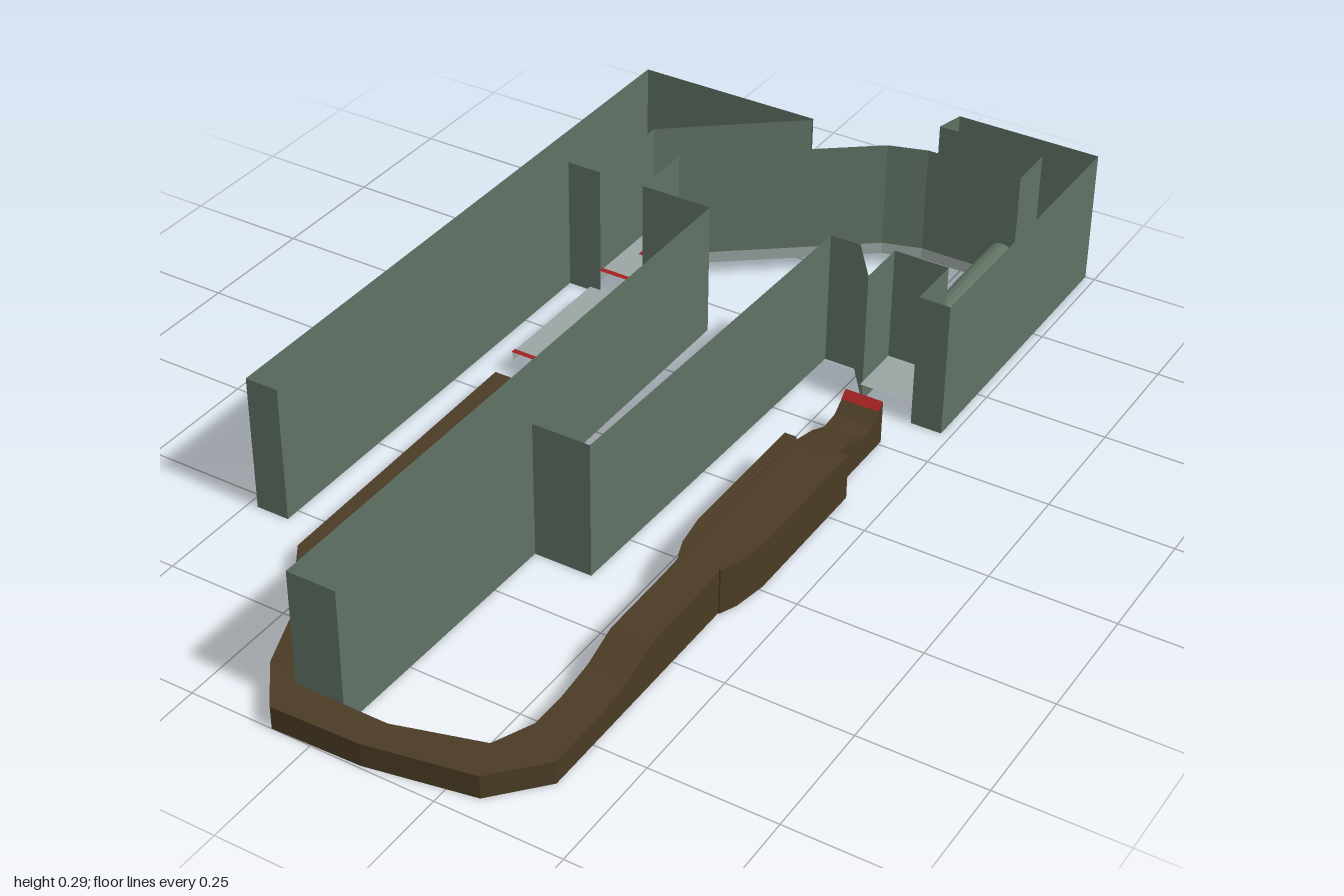
import * as THREE from 'three';

const flat = (name, color) => new THREE.MeshStandardMaterial({ name, color, side: THREE.DoubleSide, flatShading: true });

export function createModel() {
  const group = new THREE.Group();
  const green = flat('greenWall', 0x5f7163);
  const grey = flat('paleGrey', 0x9aa5a2);
  const red = flat('red', 0xa32020);
  const brown = flat('brown', 0x4a3b24);

  // Skin a list of cross-sections (each a list of [x, y, z]) with quads
  function loft(name, rows, mat, caps = false) {
    const pos = [];
    const quad = (a, b, c, d) => pos.push(...a, ...b, ...c, ...a, ...c, ...d);
    for (let i = 0; i < rows.length - 1; i++)
      for (let j = 0; j < rows[i].length - 1; j++)
        quad(rows[i][j], rows[i + 1][j], rows[i + 1][j + 1], rows[i][j + 1]);
    if (caps) {
      quad(...rows[0]);
      quad(...[...rows[rows.length - 1]].reverse());
    }
    const g = new THREE.BufferGeometry();
    g.setAttribute('position', new THREE.Float32BufferAttribute(pos, 3));
    g.computeVertexNormals();
    const m = new THREE.Mesh(g, mat);
    m.name = name;
    group.add(m);
    return m;
  }
  // Upright open-topped wall along a plan line of [x, z]
  const H = 0.287, FLOOR = 0.055;
  const wall = (name, pts, y0 = 0) =>
    loft(name, pts.map(([x, z]) => [[x, y0, z], [x, H, z]]), green);
  // Flat ribbon between plan lines, rows [xa, za, xb, zb]
  const ribbon = (name, rows, y, mat) =>
    loft(name, rows.map(([xa, za, xb, zb]) => [[xa, y, za], [xb, y, zb]]), mat);
  // Inverted channel: top with two short sides
  const channel = (name, rows, y0, y1, mat, caps) =>
    loft(name, rows.map(([xa, za, xb, zb, top = y1]) =>
      [[xa, y0, za], [xa, top, za], [xb, top, zb], [xb, y0, zb]]), mat, caps);

  // Left block walls
  wall('leftBlock', [[-0.335, -0.415], [-0.41, -0.415], [-0.41, 0.53], [-0.48, 0.53],
    [-0.48, -0.83], [-0.08, -0.83]]);
  wall('leftBlockCorridorSide', [[-0.335, -0.415], [-0.335, -0.62], [-0.08, -0.825]], FLOOR);

  // Central and right block walls, joined round the right alcove
  wall('centreAndRightBlock', [[-0.235, -0.415], [-0.08, -0.415], [-0.08, 0.93], [0.02, 0.93],
    [0.03, 0.375], [0.15, 0.375], [0.17, -0.45], [0.235, -0.45], [0.3, -0.36], [0.3, -0.466],
    [0.415, -0.466], [0.415, -0.345], [0.48, -0.345], [0.48, -1], [0.17, -1], [0.155, -0.94]]);
  wall('corridorInnerSide', [[-0.235, -0.415], [-0.235, -0.555], [0.1, -0.815], [0.18, -0.84],
    [0.385, -0.84], [0.385, -0.94], [0.155, -0.94]], FLOOR);

  // Corridor floor
  channel('corridorFloor', [
    [-0.335, -0.415, -0.235, -0.415], [-0.335, -0.62, -0.235, -0.555],
    [0.03, -0.905, 0.1, -0.815], [0.16, -0.94, 0.18, -0.84], [0.385, -0.94, 0.385, -0.84],
  ], 0.03, FLOOR, grey);

  // Red guide line on both faces of the floor
  for (const y of [FLOOR + 0.004, FLOOR - 0.004])
    ribbon('redGuideLine', [
      [-0.3, -0.505, -0.262, -0.505], [-0.3, -0.615, -0.262, -0.6],
      [0.055, -0.875, 0.07, -0.855], [0.155, -0.908, 0.165, -0.885],
      [0.372, -0.908, 0.345, -0.885], [0.372, -0.84, 0.345, -0.84],
    ], y, red);
  ribbon('corridorRedEnd', [[-0.335, -0.422, -0.235, -0.422], [-0.335, -0.41, -0.235, -0.41]], FLOOR + 0.003, red);

  // Left bridge piece with red end
  channel('leftBridge', [[-0.325, -0.36, -0.25, -0.36], [-0.325, -0.08, -0.25, -0.08]], 0.03, 0.05, grey);
  ribbon('leftBridgeRedEnd', [[-0.325, -0.088, -0.25, -0.088], [-0.325, -0.076, -0.25, -0.076]], 0.053, red);

  // Right alcove floor and pipe
  ribbon('alcoveFloor', [[0.3, -0.47, 0.41, -0.47], [0.3, -0.35, 0.41, -0.35]], 0.045, grey);
  const pipe = new THREE.Mesh(new THREE.CylinderGeometry(0.029, 0.029, 0.37, 16, 1, true), green);
  pipe.name = 'pipe';
  pipe.rotation.x = Math.PI / 2;
  pipe.position.set(0.357, 0.096, -0.655);
  group.add(pipe);

  // Brown track: humps on the right straight, then round the front to the left
  const hump = [[-0.26, 0.09], [-0.22, 0.058], [-0.18, 0.054], [-0.13, 0.075], [-0.06, 0.093],
    [0.33, 0.093], [0.4, 0.09], [0.57, 0.088], [0.64, 0.06], [0.72, 0.048]];
  channel('track', [
    ...hump.map(([z, y]) => [0.315, z, 0.395, z, y]),
    [0.315, 0.8, 0.395, 0.86, 0.048], [0.28, 0.88, 0.31, 0.955, 0.048],
    [0.11, 0.93, 0.1, 0.995, 0.048], [0.02, 0.93, -0.08, 1, 0.048],
    [-0.09, 0.89, -0.15, 0.91, 0.048], [-0.16, 0.745, -0.2, 0.79, 0.04],
    [-0.255, 0.62, -0.315, 0.62, 0.038], [-0.255, -0.02, -0.325, -0.02, 0.038],
  ], 0, 0.048, brown, true);
  loft('trackRedEnd', [[[0.315, 0.093, -0.26], [0.395, 0.093, -0.26]],
    [[0.315, 0.079, -0.244], [0.395, 0.079, -0.244]]], red);

  // Wider shoulders beside the raised straight
  for (const [name, a, b] of [['innerShoulder', 0.315, 0.29], ['outerShoulder', 0.395, 0.424]])
    channel(name, [[a, -0.07, b, -0.07], [a, 0.24, b, 0.24],
      [a, 0.31, a + (b - a) * 0.6, 0.31], [a, 0.345, a + (b - a) * 0.1, 0.345]], 0, 0.097, brown, true);

  return group;
}
